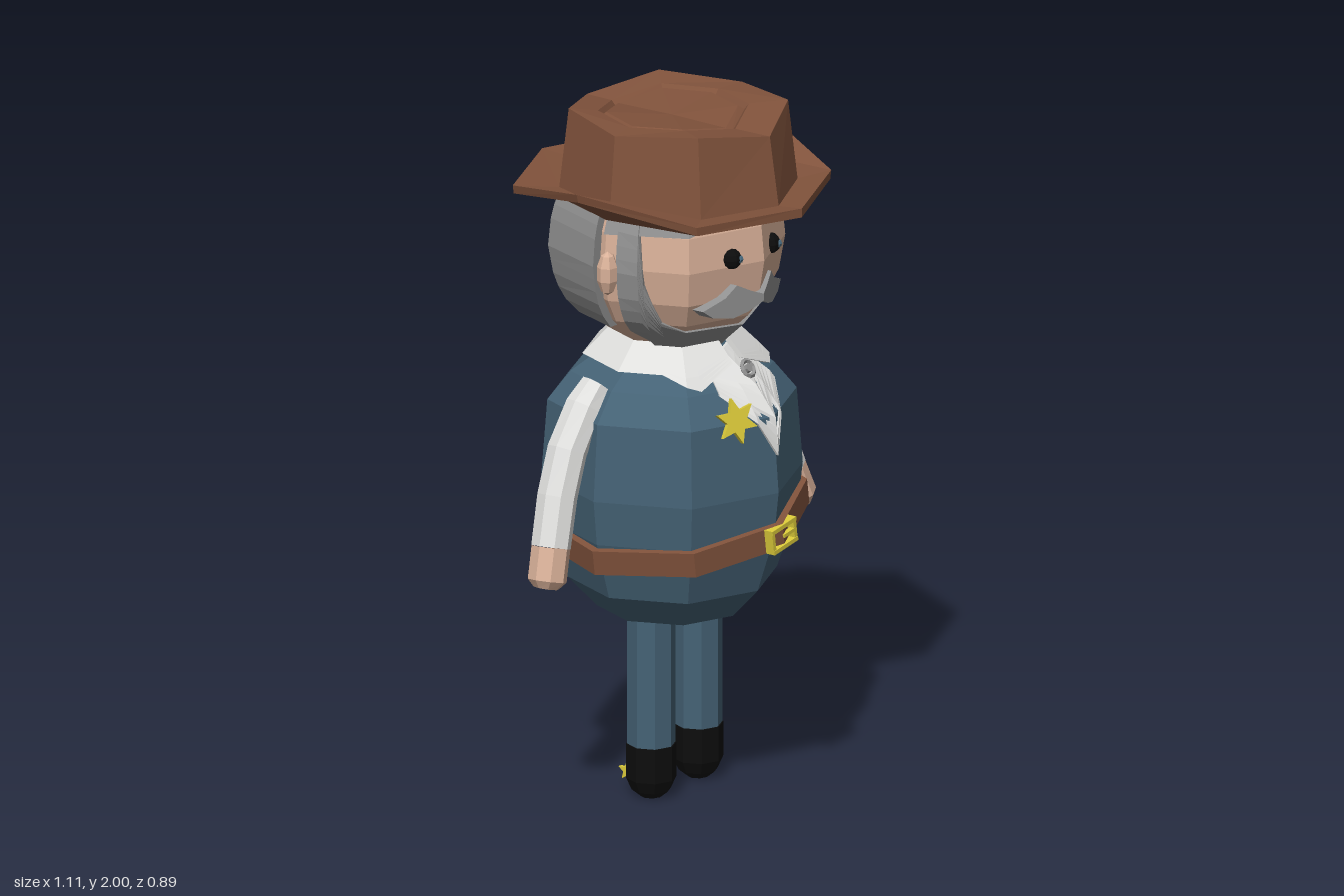
import * as THREE from 'three';

const mat = (name, color) => {
  const m = new THREE.MeshStandardMaterial({ color });
  m.name = name;
  return m;
};
const V = (x, y, z) => new THREE.Vector3(x, y, z);
const rad = THREE.MathUtils.degToRad;

// faceted normals
function flat(g) {
  const f = g.index ? g.toNonIndexed() : g;
  f.computeVertexNormals();
  return f;
}

// surface from a grid of points: rows upward, columns counter-clockwise
function gridGeometry(rows, closed) {
  const n = rows[0].length, pos = [], idx = [];
  rows.forEach(r => r.forEach(p => pos.push(p.x, p.y, p.z)));
  for (let i = 0; i < rows.length - 1; i++) {
    for (let j = 0; j < (closed ? n : n - 1); j++) {
      const a = i * n + j, b = i * n + (j + 1) % n;
      idx.push(a, b, b + n, a, b + n, a + n);
    }
  }
  const g = new THREE.BufferGeometry();
  g.setAttribute('position', new THREE.Float32BufferAttribute(pos, 3));
  g.setIndex(idx);
  return flat(g);
}

// eight-sided solid from [y, radius] pairs, bottom to top
const octLathe = prof => flat(new THREE.LatheGeometry(prof.map(([y, r]) => new THREE.Vector2(r, y)), 8));

// point on an eight-sided profile at an angle from the front
function octPoint(prof, deg, y, off) {
  let k = 0;
  while (k < prof.length - 2 && y > prof[k + 1][0]) k++;
  const [y0, r0] = prof[k], [y1, r1] = prof[k + 1];
  const r = r0 + (r1 - r0) * (y - y0) / (y1 - y0) + off;
  const local = ((deg % 45) + 45) % 45 - 22.5;
  const d = r * Math.cos(rad(22.5)) / Math.cos(rad(local));
  return V(d * Math.sin(rad(deg)), y, d * Math.cos(rad(deg)));
}

// raised patch on a profile; columns are [angle, lower y, upper y], edges tuck inward
function patch(prof, cols, off, tuck = 0.01, n = 10) {
  const all = [cols[0], ...cols, cols[cols.length - 1]];
  const rows = [];
  for (let i = -1; i <= n + 1; i++) {
    const t = Math.min(Math.max(i / n, 0), 1);
    rows.push(all.map(([deg, y0, y1], j) => {
      const edge = i < 0 || i > n || j === 0 || j === all.length - 1;
      return octPoint(prof, deg, y0 + (y1 - y0) * t, edge ? -tuck : off);
    }));
  }
  return gridGeometry(rows, false);
}

// limb through points listed from low to high
function limb(points, radii) {
  const rows = points.map((p, i) => {
    const dir = points[Math.min(i + 1, points.length - 1)].clone().sub(points[Math.max(i - 1, 0)]).normalize();
    const q = new THREE.Quaternion().setFromUnitVectors(V(0, 1, 0), dir);
    return Array.from({ length: 8 }, (_, k) => {
      const a = k * Math.PI / 4;
      return V(Math.sin(a), 0, Math.cos(a)).multiplyScalar(radii[i]).applyQuaternion(q).add(p);
    });
  });
  return gridGeometry(rows, true);
}

function starGeometry(points, outer, inner, depth) {
  const s = new THREE.Shape();
  for (let i = 0; i < points * 2; i++) {
    const a = i * Math.PI / points, r = i % 2 ? inner : outer;
    s[i ? 'lineTo' : 'moveTo'](Math.sin(a) * r, Math.cos(a) * r);
  }
  s.closePath();
  return flat(new THREE.ExtrudeGeometry(s, { depth, bevelEnabled: false }));
}

export function createModel() {
  const group = new THREE.Group();
  const brown = mat('leather brown', 0x81533c), blue = mat('vest blue', 0x456275);
  const white = mat('shirt white', 0xe0e0de), skin = mat('skin', 0xd9b199);
  const gray = mat('hair gray', 0x919191), black = mat('boot black', 0x0d0d0d);
  const yellow = mat('brass yellow', 0xdccb3a), iris = mat('iris blue', 0x4f7288);
  const add = (name, geo, m, x = 0, y = 0, z = 0, parent = group) => {
    const mesh = new THREE.Mesh(geo, m);
    mesh.name = name;
    mesh.position.set(x, y, z);
    parent.add(mesh);
    return mesh;
  };

  // torso
  const body = [[0.54, 0.21], [0.63, 0.295], [0.8, 0.352], [0.93, 0.367], [1.15, 0.35], [1.23, 0.285], [1.29, 0.2], [1.33, 0.13]];
  add('torso', octLathe([[0.54, 0], ...body, [1.33, 0]]), blue);
  add('shirtFront', patch(body, [[-25, 1.22, 1.31], [-9, 1.14, 1.31], [0, 1.04, 1.31], [10, 1.14, 1.31], [29, 1.21, 1.31]], 0.008, 0.002), white);
  const collar = [[1.22, 0.292], [1.28, 0.24], [1.37, 0.15]];
  const half = [[7, 1.29, 1.345], [36, 1.24, 1.36], [45, 1.255, 1.365], [60, 1.28, 1.37], [90, 1.28, 1.37], [135, 1.28, 1.37]];
  const mirrored = half.map(([d, a, b]) => [360 - d, a, b]).reverse();
  add('collar', patch(collar, [...half, [180, 1.28, 1.37], ...mirrored], 0.012), white);
  const button = add('collarButton', flat(new THREE.TorusGeometry(0.023, 0.007, 4, 10)), gray, 0.005, 1.272, 0.258);
  button.rotation.x = -0.6;
  const stud = add('buttonCentre', flat(new THREE.CylinderGeometry(0.012, 0.012, 0.012, 8)), gray, 0.005, 1.272, 0.258);
  stud.rotation.x = Math.PI / 2 - 0.6;
  const badge = add('starBadge', starGeometry(6, 0.066, 0.032, 0.015), yellow, -0.113, 1.158, 0.3);
  badge.rotation.set(-0.25, -0.39, 0.15, 'YXZ');

  // tilted belt with buckle
  const belt = new THREE.Group();
  belt.name = 'belt';
  belt.position.set(0.008, 0.806, 0);
  belt.rotation.z = 0.146;
  group.add(belt);
  add('beltStrap', octLathe([[-0.036, 0.32], [-0.036, 0.379], [0.036, 0.379], [0.036, 0.32]]), brown, 0, 0, 0, belt);
  for (const s of [-1, 1]) {
    add('buckleSide', flat(new THREE.BoxGeometry(0.012, 0.068, 0.03)), yellow, s * 0.05, 0, 0.368, belt);
    add('buckleBar', flat(new THREE.BoxGeometry(0.112, 0.012, 0.03)), yellow, 0, s * 0.03, 0.37, belt);
  }
  add('buckleProng', flat(new THREE.BoxGeometry(0.05, 0.01, 0.016)), yellow, 0.022, 0, 0.376, belt);

  // legs, boots and spurs
  for (const x of [-0.097, 0.122]) {
    add('leg', octLathe([[0.15, 0.068], [0.6, 0.068]]), blue, x);
    add('boot', octLathe([[0, 0], [0, 0.03], [0.02, 0.055], [0.055, 0.071], [0.155, 0.071], [0.155, 0]]), black, x);
    const spur = add('spur', starGeometry(5, 0.03, 0.013, 0.012), yellow, x - 0.006, 0.056, -0.08);
    spur.rotation.y = Math.PI / 2;
  }

  // arms, each with its own pose
  const arms = {
    right: [V(-0.508, 0.705, -0.06), V(-0.503, 0.725, -0.06), V(-0.477, 0.815, -0.066), V(-0.435, 0.95, -0.075), V(-0.385, 1.07, -0.078), V(-0.315, 1.18, -0.07), V(-0.27, 1.235, -0.06)],
    left: [V(0.512, 0.705, 0.062), V(0.506, 0.73, 0.06), V(0.476, 0.815, 0.045), V(0.43, 0.95, 0.022), V(0.38, 1.07, 0.008), V(0.32, 1.18, 0), V(0.275, 1.235, 0)],
  };
  for (const [side, p] of Object.entries(arms)) {
    add(side + 'Hand', limb([p[0], p[0], p[1], p[2]], [0, 0.036, 0.055, 0.055]), skin);
    add(side + 'Sleeve', limb([...p.slice(2), p[6]], [0.056, 0.057, 0.057, 0.055, 0.045, 0]), white);
  }

  // head, ears and hair
  const head = [[1.3, 0.13], [1.345, 0.17], [1.43, 0.262], [1.5, 0.3], [1.6, 0.318], [1.7, 0.308], [1.8, 0.27]];
  add('head', octLathe([[1.3, 0], ...head, [1.8, 0]]), skin);
  add('backHair', patch(head, [[94, 1.41, 1.8], [135, 1.4, 1.8], [180, 1.4, 1.8], [225, 1.4, 1.8], [266, 1.41, 1.8]], 0.03), gray);
  const beard = [[45, 1.335, 1.41], [60, 1.335, 1.44], [69, 1.34, 1.56], [72, 1.36, 1.74], [83, 1.4, 1.79]];
  const flip = list => list.map(([d, a, b]) => [-d, a, b]).reverse();
  add('beard', patch(head, [...flip(beard), [0, 1.33, 1.4], ...beard], 0.016), gray);
  const line = [[38, 1.715, 1.79], [45, 1.705, 1.79], [90, 1.7, 1.79]];
  add('leftHairline', patch(head, line, 0.012), gray);
  add('rightHairline', patch(head, flip(line), 0.012), gray);

  // face and ears on both sides
  for (const s of [-1, 1]) {
    const ear = add('ear', flat(new THREE.SphereGeometry(1, 7, 5)), skin, s * 0.322, 1.59, 0.015);
    ear.scale.set(0.034, 0.064, 0.03);
    const ex = s * 0.088 - 0.005, ez = 0.317 - 0.414 * Math.abs(ex);
    const eye = add('eye', flat(new THREE.SphereGeometry(0.03, 8, 6)), black, ex, 1.622, ez - 0.006);
    eye.rotation.y = s * 0.39;
    add('iris', flat(new THREE.SphereGeometry(0.013, 6, 4)), iris, ex + 0.01, 1.622, ez + 0.013);

    const w = [[0, 1.508], [0.04, 1.525], [0.08, 1.547], [0.115, 1.515], [0.182, 1.488], [0.15, 1.463], [0.09, 1.453], [0.045, 1.465], [0, 1.488]];
    const shape = new THREE.Shape(w.map(([x, y]) => new THREE.Vector2(s * x, y)));
    const g = new THREE.ExtrudeGeometry(shape, { depth: 0.055, bevelEnabled: false });
    const p = g.attributes.position;
    for (let i = 0; i < p.count; i++) p.setZ(i, p.getZ(i) + 0.27 - 0.414 * Math.abs(p.getX(i)));
    add('moustache', flat(g), gray, -0.012, 0, 0);
  }

  // hat rings: x radius, z radius, z shift, heights at side, diagonal and front corners
  const rings = [
    [0.2, 0.2, 0, 1.735, 1.735, 1.735],
    [0.31, 0.31, 0, 1.74, 1.735, 1.735],
    [0.44, 0.447, 0, 1.825, 1.755, 1.752],
    [0.447, 0.447, 0, 1.85, 1.78, 1.778],
    [0.32, 0.345, 0.022, 1.775, 1.77, 1.77],
    [0.298, 0.315, 0.022, 1.985, 2, 1.967],
    [0.21, 0.213, 0.005, 1.985, 1.988, 1.966],
    [0.198, 0.2, 0.005, 1.97, 1.972, 1.952],
    [0.185, 0.185, 0, 1.98, 1.982, 1.962],
    [0, 0, 0, 1.965, 1.965, 1.965],
  ];
  add('hat', gridGeometry(rings.map(([rx, rz, cz, yx, yd, yz]) => Array.from({ length: 8 }, (_, k) => {
    const a = k * Math.PI / 4;
    return V(Math.sin(a) * rx, k % 2 ? yd : k % 4 ? yx : yz, Math.cos(a) * rz + cz);
  })), true), brown);

  return group;
}
